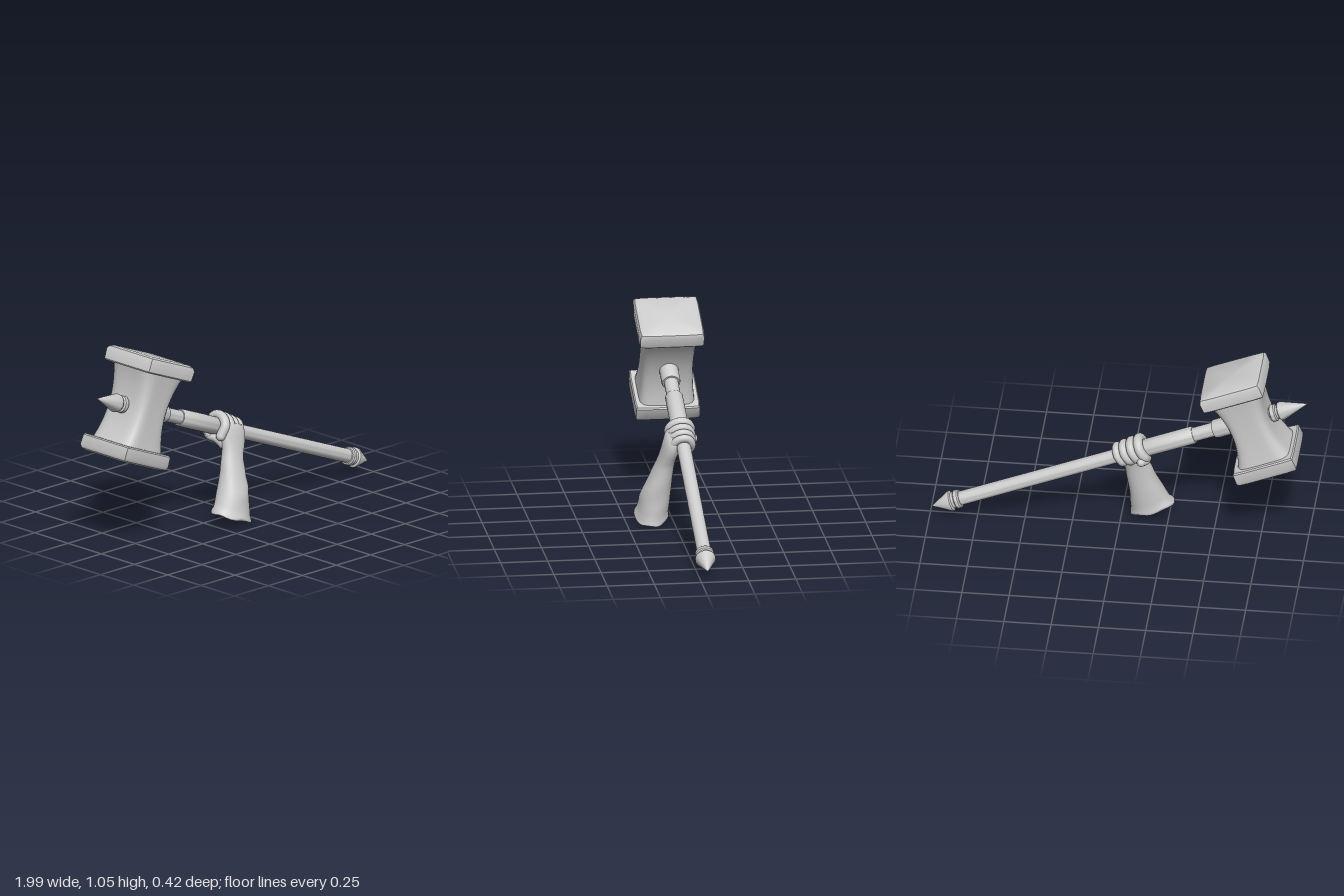
import * as THREE from 'three';
import { toCreasedNormals } from 'three/addons/utils/BufferGeometryUtils.js';

const material = new THREE.MeshStandardMaterial({ color: 0xcccccc });

function add(parent, name, geometry) {
  const mesh = new THREE.Mesh(geometry, material);
  mesh.name = name;
  parent.add(mesh);
  return mesh;
}

// Skin over superellipse rings [cx, cy, cz, halfX, halfZ], listed from bottom to top
function loft(rings, { power = 2, segs = 40, crease = 0.6, shape = null } = {}) {
  const pos = [], index = [];
  rings.forEach(([cx, cy, cz, hx, hz], i) => {
    for (let j = 0; j < segs; j++) {
      const a = (j / segs) * Math.PI * 2, c = Math.cos(a), s = Math.sin(a);
      const r = 1 / Math.pow(Math.abs(c) ** power + Math.abs(s) ** power, 1 / power);
      const p = new THREE.Vector3(cx + hx * r * c, cy, cz + hz * r * s);
      if (shape) shape(p, a, rings[i]);
      pos.push(p.x, p.y, p.z);
      if (i < rings.length - 1) {
        const k = (j + 1) % segs, b = i * segs, t = b + segs;
        index.push(b + j, t + j, b + k, b + k, t + j, t + k);
      }
    }
  });
  const g = new THREE.BufferGeometry();
  g.setAttribute('position', new THREE.Float32BufferAttribute(pos, 3));
  g.setIndex(index);
  return toCreasedNormals(g, crease);
}

// Solid turned around the shaft (local x), profile given as [position, radius]
function turned(profile) {
  const g = new THREE.LatheGeometry(profile.map(([t, r]) => new THREE.Vector2(r, t)), 32);
  g.rotateZ(-Math.PI / 2);
  return toCreasedNormals(g, 0.6);
}

// Finger: tube along a curve with rounded ends
function finger(parent, name, points, radius) {
  const group = new THREE.Group();
  group.name = name;
  parent.add(group);
  const curve = new THREE.CatmullRomCurve3(points.map(p => new THREE.Vector3(...p)));
  add(group, 'fingerLength', new THREE.TubeGeometry(curve, 28, radius, 14));
  for (const end of [0, 1]) {
    add(group, 'fingerEnd', new THREE.SphereGeometry(radius, 14, 10)).position.copy(curve.getPoint(end));
  }
}

export function createModel() {
  const model = new THREE.Group();
  model.name = 'hammerInHand';

  // Hammer frame: origin at the head centre, x along the shaft
  const hammer = new THREE.Group();
  hammer.name = 'hammer';
  hammer.position.set(-0.70, 0.73, -0.035);
  hammer.rotation.z = -0.38;
  model.add(hammer);

  // Waisted head block
  const body = [];
  for (let i = 0; i <= 16; i++) {
    const v = i / 8 - 1, f = v * v;
    body.push([0, v * 0.21, 0, 0.107 + 0.043 * f, 0.134 + 0.014 * f]);
  }
  add(hammer, 'headBody', loft(body, { power: 6, segs: 48, crease: 0.9 }));

  // Square striking plates with bevelled outer edges
  const plate = [[0.2, 0], [0.2, 0.165], [0.207, 0.171], [0.262, 0.173], [0.278, 0.165], [0.287, 0.147], [0.287, 0]];
  for (const side of [1, -1]) {
    const rings = plate.map(([y, h]) => [0, y, 0, h, h]);
    const mesh = add(hammer, side > 0 ? 'upperPlate' : 'lowerPlate', loft(rings, { power: 30, segs: 32 }));
    if (side < 0) mesh.rotation.x = Math.PI;
  }

  // Shaft, grip and fittings
  add(hammer, 'shaft', turned([[0, 0], [0, 0.0375], [1.68, 0.0375], [1.68, 0]]));
  add(hammer, 'headCollar', turned([[0.08, 0], [0.08, 0.05], [0.2, 0.05], [0.212, 0.046], [0.212, 0]]));
  add(hammer, 'grip', turned([[0.325, 0], [0.325, 0.043], [0.335, 0.047], [0.63, 0.047], [0.64, 0.043], [0.64, 0]]));
  add(hammer, 'headSpike', turned([
    [-0.323, 0], [-0.175, 0.05], [-0.162, 0.048], [-0.157, 0.038], [-0.145, 0.036],
    [-0.14, 0.046], [-0.118, 0.046], [-0.113, 0.036], [-0.08, 0.036],
  ]));
  add(hammer, 'endSpike', turned([
    [1.655, 0], [1.655, 0.045], [1.662, 0.05], [1.68, 0.05], [1.686, 0.043], [1.7, 0.043],
    [1.706, 0.054], [1.716, 0.054], [1.819, 0],
  ]));

  // Fist closed over the shaft
  const hand = new THREE.Group();
  hand.name = 'hand';
  hammer.add(hand);
  const curl = [[-0.045, 0.058], [0.015, 0.062], [0.045, 0.042], [0.06, 0.008],
    [0.054, -0.028], [0.02, -0.05], [-0.025, -0.048], [-0.05, -0.02]];
  [0.622, 0.667, 0.71, 0.75].forEach((t, i) => {
    const k = 1 - 0.05 * i;
    finger(hand, 'finger', curl.map(([u, z]) => [t + (u < 0 ? -0.008 : 0), u * k, z * k]), 0.0255 - 0.0015 * i);
  });
  finger(hand, 'thumb', [[0.66, -0.085, 0.045], [0.628, -0.062, 0.02], [0.618, -0.058, -0.025],
    [0.636, -0.04, -0.068]], 0.023);

  // Sleeved forearm running up into the back of the hand, hollow at the cuff
  const arm = [
    [-0.15, 0.10, 0.105, 0, 0], [-0.15, 0.10, 0.105, 0.085, 0.068], [-0.16, 0.042, 0.116, 0.102, 0.078],
    [-0.16, 0.038, 0.116, 0.11, 0.085], [-0.16, 0.043, 0.116, 0.116, 0.09], [-0.158, 0.055, 0.115, 0.113, 0.088],
    [-0.152, 0.07, 0.112, 0.104, 0.083], [-0.143, 0.10, 0.107, 0.098, 0.081], [-0.134, 0.14, 0.1, 0.09, 0.079],
    [-0.124, 0.18, 0.093, 0.082, 0.075], [-0.114, 0.22, 0.083, 0.076, 0.068], [-0.104, 0.26, 0.073, 0.072, 0.061],
    [-0.096, 0.30, 0.063, 0.069, 0.055], [-0.088, 0.335, 0.053, 0.064, 0.049], [-0.078, 0.37, 0.044, 0.063, 0.046],
    [-0.066, 0.41, 0.032, 0.072, 0.046], [-0.058, 0.45, 0.022, 0.078, 0.046], [-0.054, 0.485, 0.017, 0.078, 0.042],
    [-0.052, 0.51, 0.012, 0.066, 0.033], [-0.052, 0.52, 0.01, 0, 0],
  ];
  const drape = (p, a, [cx, cy, cz, hx]) => {
    // Slanted rings, a ragged hem and one diagonal fold in the cloth
    const dx = p.x - cx, dz = p.z - cz;
    p.y -= 0.33 * dx + 0.06 * dz;
    if (hx === 0) return;
    if (cy < 0.06) p.y += 0.004 * Math.sin(a * 5);
    const fold = Math.exp(-(((cy - 0.17 - 0.06 * Math.cos(a)) / 0.025) ** 2)) * Math.max(0, Math.sin(a + 0.4));
    const out = 1 + 0.09 * fold + (cy < 0.12 ? 0.015 * Math.sin(a * 4 + 1) : 0);
    p.x = cx + dx * out;
    p.z = cz + dz * out;
  };
  add(model, 'forearm', loft(arm, { power: 2.2, segs: 40, crease: 1.1, shape: drape }));

  return model;
}
